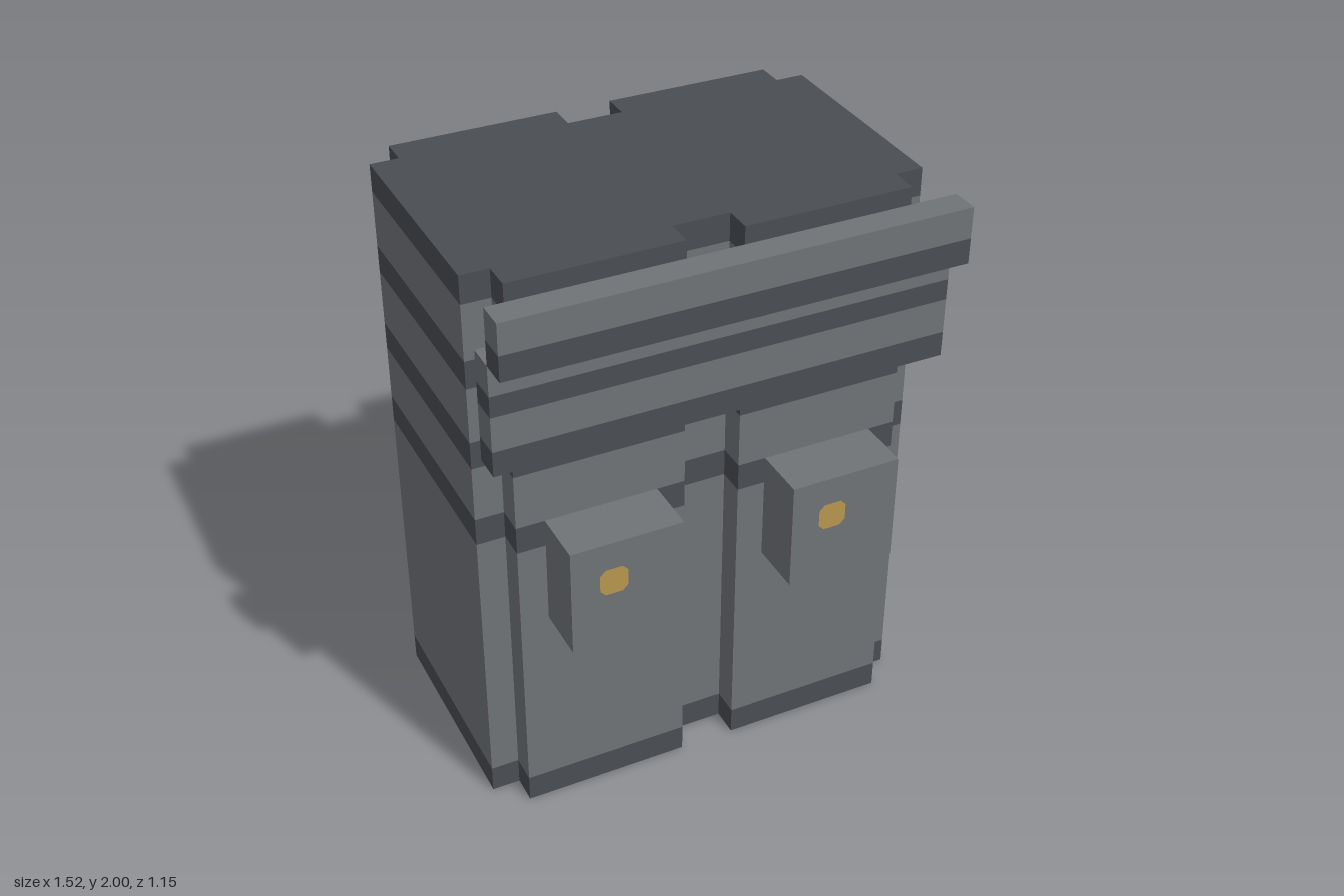
import * as THREE from 'three';

const U = 2 / 21; // one grid unit; the cabinet is 21 units tall

const material = (name, color) => {
  const m = new THREE.MeshStandardMaterial({ color });
  m.name = name;
  return m;
};

// Rectangle outline in plan, as [x, -z] pairs, counter-clockwise
const rect = (x0, x1, z0, z1) => [[x0, -z1], [x1, -z1], [x1, -z0], [x0, -z0]];

// Upright prism with horizontal colour bands: bands = [[topHeight, materialIndex], ...]
function bandedPrism(name, outline, base, bands, materials) {
  const pos = [], geo = new THREE.BufferGeometry();
  const addGroup = (index, build) => {
    const start = pos.length / 3;
    build();
    geo.addGroup(start, pos.length / 3 - start, index);
  };
  let low = base;
  for (const [high, index] of bands) {
    addGroup(index, () => outline.forEach(([ax, as], i) => {
      const [bx, bs] = outline[(i + 1) % outline.length];
      pos.push(ax, low, -as, bx, low, -bs, bx, high, -bs);
      pos.push(ax, low, -as, bx, high, -bs, ax, high, -as);
    }));
    low = high;
  }
  // Bottom and top caps take the colour of the band they close
  const contour = outline.map(([x, s]) => new THREE.Vector2(x, s));
  const triangles = THREE.ShapeUtils.triangulateShape(contour, []);
  const cap = (y, flip) => triangles.forEach((t) => {
    for (const i of flip ? [...t].reverse() : t) pos.push(outline[i][0], y, -outline[i][1]);
  });
  addGroup(bands[0][1], () => cap(base, true));
  addGroup(bands[bands.length - 1][1], () => cap(low, false));

  geo.setAttribute('position', new THREE.Float32BufferAttribute(pos, 3));
  geo.scale(U, U, U);
  geo.computeVertexNormals();
  const mesh = new THREE.Mesh(geo, materials);
  mesh.name = name;
  return mesh;
}

export function createModel() {
  const group = new THREE.Group();
  group.name = 'cabinet';
  const light = material('lightGrey', 0x6f7377);
  const dark = material('darkGrey', 0x4a4d52);
  const gold = material('gold', 0xb8964f);
  const greys = [light, dark];
  const L = 0, D = 1;

  // Main body with recessed corners and a centre groove front and back
  const front = [[-8, -3], [-7, -3], [-7, -4], [-1, -4], [-1, -3], [1, -3], [1, -4], [7, -4], [7, -3], [8, -3]];
  const back = front.map(([x, s]) => [-x, 2 - s]);
  group.add(bandedPrism('body', [...front, ...back], 0,
    [[1, D], [11, L], [12, D], [14, L], [15, D], [17, L], [18, D], [20, L], [21, D]], greys));

  // Stepped fascia across the front
  group.add(bandedPrism('fasciaPanel', rect(-8, 8, 4, 5), 15,
    [[15.9, D], [17.15, L], [17.9, D], [19, L]], greys));
  group.add(bandedPrism('topBeam', rect(-8, 8, 5, 6), 19, [[19.9, D], [21, L]], greys));

  // Two front boxes, each with a small gold spot
  const c = 0.2; // clipped corner of the spot
  const spot = new THREE.Shape([
    [c, 0], [1 - c, 0], [1, c], [1, 1 - c], [1 - c, 1], [c, 1], [0, 1 - c], [0, c],
  ].map(([x, y]) => new THREE.Vector2(x * U, y * U)));
  for (const [side, x] of [['right', -6], ['left', 2]]) {
    const box = new THREE.Mesh(new THREE.BoxGeometry(4 * U, 4 * U, 2 * U), light);
    box.name = side + 'Box';
    box.position.set((x + 2) * U, 10 * U, 5 * U);
    const mark = new THREE.Mesh(new THREE.ShapeGeometry(spot), gold);
    mark.name = side + 'Spot';
    mark.position.set((x + 1) * U, 10 * U, 6 * U + 0.003);
    group.add(box, mark);
  }
  return group;
}
